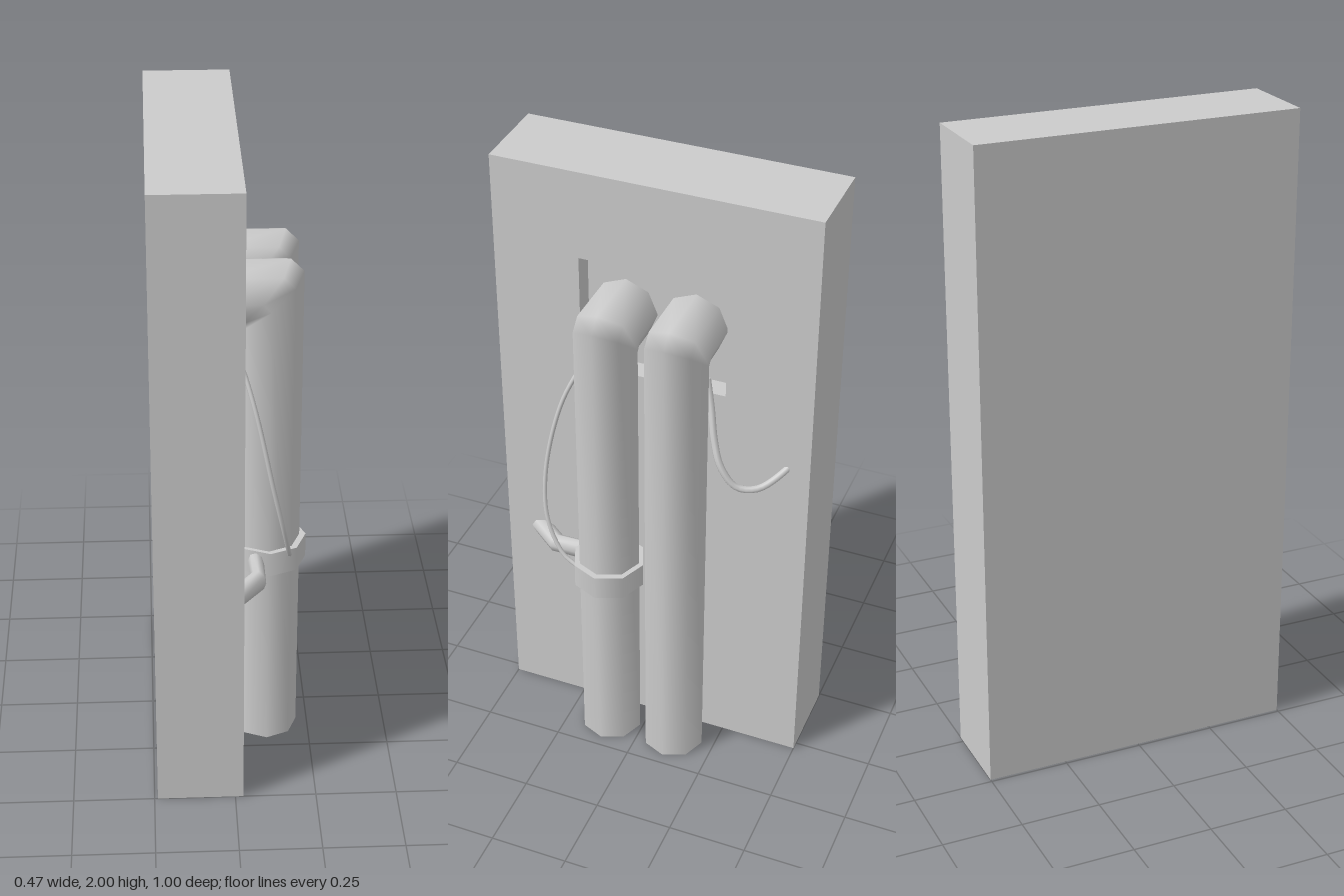
import * as THREE from 'three';

const V = (x, y, z) => new THREE.Vector3(x, y, z);

function createMaterial() {
  return new THREE.MeshStandardMaterial({ color: 0xcccccc, side: THREE.DoubleSide });
}

// Skin a series of closed rings (counter-clockwise about the direction of travel).
function loft(rings, { caps = false, flat = false } = {}) {
  const n = rings[0].length, index = [];
  for (let i = 0; i < rings.length - 1; i++) {
    for (let j = 0; j < n; j++) {
      const k = (j + 1) % n;
      const a = i * n + j, b = i * n + k, c = a + n, d = b + n;
      index.push(a, b, c, b, d, c);
    }
  }
  if (caps) {
    const last = (rings.length - 1) * n;
    for (let j = 1; j < n - 1; j++) index.push(0, j + 1, j, last, last + j, last + j + 1);
  }
  let geometry = new THREE.BufferGeometry().setFromPoints(rings.flat());
  geometry.setIndex(index);
  if (flat) geometry = geometry.toNonIndexed();
  geometry.computeVertexNormals();
  return geometry;
}

// Eight-sided ring spanned by its outer and inner points and a sideways radius.
function ring(outer, inner, side) {
  const center = outer.clone().add(inner).multiplyScalar(0.5);
  const half = outer.clone().sub(center);
  return Array.from({ length: 8 }, (_, i) => {
    const t = (i * Math.PI) / 4;
    return center.clone().addScaledVector(half, Math.cos(t)).addScaledVector(side, Math.sin(t));
  });
}

// Rectangle in the plane of the wall.
const rect = (x, y0, y1, z) => [V(x, y0, -z), V(x, y1, -z), V(x, y1, z), V(x, y0, z)];

// Pipe leaving the wall, bending over a chamfered elbow and dropping to the ground.
function pipeGeometry(z) {
  const side = V(0, 0, 0.1);
  return loft([
    ring(V(-0.04, 1.64, z), V(-0.04, 1.44, z), side),
    ring(V(0.175, 1.64, z), V(0.01, 1.44, z), side),
    ring(V(0.215, 1.6, z), V(0.015, 1.43, z), side),
    ring(V(0.215, 0, z), V(0.015, 0, z), side),
  ]);
}

function cableGeometry(points, radius) {
  const curve = new THREE.CatmullRomCurve3(points.map((p) => V(...p)));
  return new THREE.TubeGeometry(curve, 32, radius, 8);
}

export function createModel() {
  const group = new THREE.Group();
  const material = createMaterial();
  const add = (name, geometry) => {
    const mesh = new THREE.Mesh(geometry, material);
    mesh.name = name;
    group.add(mesh);
    return mesh;
  };

  // Wall slab with a shallow recess behind the pipe elbows
  add('wall', loft([
    rect(-0.24, 0, 2, 0.5),
    rect(0.025, 0, 2, 0.5),
    rect(0.025, 1.355, 1.72, 0.23),
    rect(-0.04, 1.355, 1.72, 0.23),
  ], { caps: true, flat: true }));

  // Twin downpipes
  add('frontPipe', pipeGeometry(0.11));
  add('rearPipe', pipeGeometry(-0.11));

  // Collar around the front pipe
  const collar = add('collar', new THREE.CylinderGeometry(0.115, 0.115, 0.08, 8));
  collar.position.set(0.12, 0.67, 0.11);

  // Bent side branch from the collar back into the wall
  const up = V(0, 0.033, 0);
  add('sideBranch', loft([
    ring(V(0.1, 0.67, 0.15), V(0.05, 0.67, 0.15), up),
    ring(V(0.1, 0.67, 0.325), V(0.055, 0.67, 0.29), up),
    ring(V(0.005, 0.67, 0.445), V(0.005, 0.67, 0.355), up),
  ]));

  // Loose cables
  add('frontCable', cableGeometry([
    [0, 1.41, 0.19], [0.03, 1.35, 0.225], [0.07, 1.22, 0.28], [0.12, 0.99, 0.317],
    [0.155, 0.83, 0.3], [0.175, 0.72, 0.24], [0.18, 0.69, 0.19],
  ], 0.007));
  add('rearCable', cableGeometry([
    [0, 1.16, -0.44], [0.03, 1.135, -0.42], [0.085, 1.095, -0.36], [0.108, 1.1, -0.3],
    [0.108, 1.16, -0.25], [0.085, 1.23, -0.22], [0.05, 1.32, -0.195], [0.02, 1.4, -0.17],
  ], 0.011));

  return group;
}
